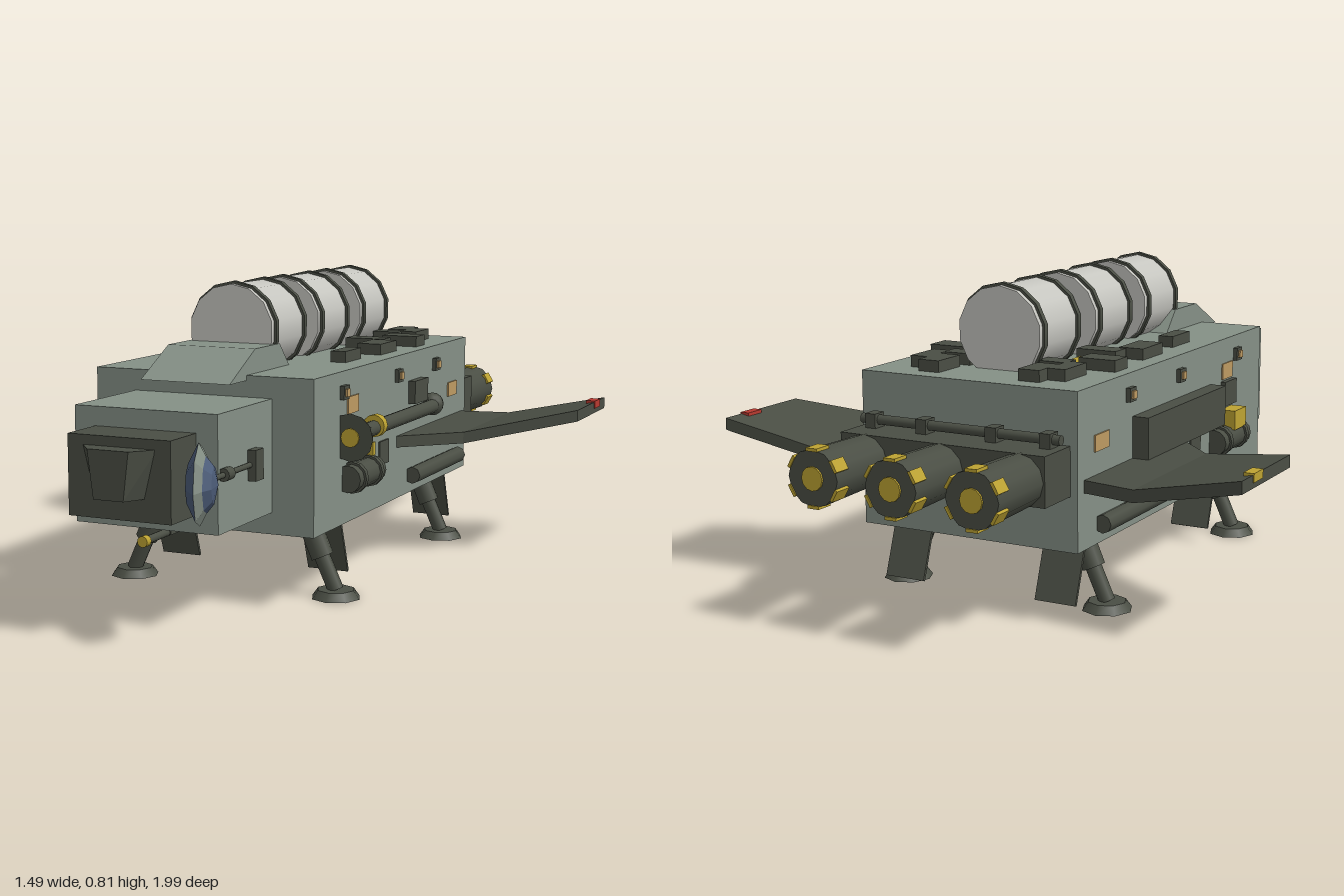
import * as THREE from 'three';

const material = (name, color) => {
  const m = new THREE.MeshStandardMaterial({ color });
  m.name = name;
  return m;
};

export function createModel() {
  const root = new THREE.Group();
  root.name = 'dropship';
  const hull = material('hull grey green', 0x859086);
  const dark = material('dark olive', 0x4a4e44);
  const pale = material('tank grey', 0xc6c6c0);
  const gold = material('gold', 0xbda332);
  const tan = material('tan panel', 0xbe9a62);
  const blue = material('dish blue', 0x4c5c78);
  const red = material('red lamp', 0xb83a30);

  const add = (name, geometry, mat, parent = root) => {
    const mesh = new THREE.Mesh(geometry, mat);
    mesh.name = name;
    parent.add(mesh);
    return mesh;
  };
  // Box given by its limits on each axis
  const box = (name, mat, x0, x1, y0, y1, z0, z1) => {
    const mesh = add(name, new THREE.BoxGeometry(Math.abs(x1 - x0), y1 - y0, Math.abs(z1 - z0)), mat);
    mesh.position.set((x0 + x1) / 2, (y0 + y1) / 2, (z0 + z1) / 2);
    return mesh;
  };
  // Cylinder or cone between two points
  const rod = (name, mat, a, b, ra, rb = ra, sides = 12) => {
    const p = new THREE.Vector3(...a), q = new THREE.Vector3(...b);
    const mesh = add(name, new THREE.CylinderGeometry(rb, ra, p.distanceTo(q), sides), mat);
    mesh.position.copy(p).lerp(q, 0.5);
    mesh.quaternion.setFromUnitVectors(new THREE.Vector3(0, 1, 0), q.sub(p).normalize());
    return mesh;
  };
  const faceted = (geometry) => {
    const g = geometry.toNonIndexed();
    g.computeVertexNormals();
    return g;
  };
  // Reshape a box: the rule moves each vertex
  const reshape = (geometry, rule) => {
    const p = geometry.attributes.position, v = new THREE.Vector3();
    for (let i = 0; i < p.count; i++) {
      rule(v.fromBufferAttribute(p, i));
      p.setXYZ(i, v.x, v.y, v.z);
    }
    return faceted(geometry);
  };

  // Hull, neck and cockpit
  box('hull', hull, -0.31, 0.31, 0.19, 0.59, -0.655, 0.485);
  box('neck', hull, -0.195, 0.195, 0.246, 0.535, 0.48, 0.78);
  box('cockpit', dark, -0.138, 0.138, 0.29, 0.487, 0.77, 0.905);
  add('cockpitWindow', reshape(new THREE.BoxGeometry(1, 1, 1), (v) => {
    const top = v.y > 0, front = v.z > 0;
    v.x = Math.sign(v.x) * (front ? (top ? 0.055 : 0.04) : (top ? 0.1 : 0.07));
    v.y = top ? 0.463 : 0.345;
    v.z = front ? 0.955 : 0.9;
  }), dark);

  // Sloped fairing ahead of the tanks, drawn in side profile
  const profile = new THREE.Shape([[0.58, 0.577], [0.435, 0.652], [0.29, 0.652], [0.22, 0.577]]
    .map(([z, y]) => new THREE.Vector2(-z, y)));
  const fairing = add('fairing', new THREE.ExtrudeGeometry(profile, { depth: 0.25, bevelEnabled: false }), hull);
  fairing.rotation.y = Math.PI / 2;
  fairing.position.x = -0.125;

  // Three dorsal tanks with dark bands
  for (const z of [0.212, -0.085, -0.385]) {
    rod('tank', pale, [0, 0.685, z - 0.11], [0, 0.685, z + 0.11], 0.12, 0.12, 14);
    for (const s of [-1, 1])
      rod('tankBand', dark, [0, 0.685, z + s * 0.088 - 0.008], [0, 0.685, z + s * 0.088 + 0.008], 0.127, 0.127, 14);
  }

  // Engine block, pipe and three engines
  box('engineBlock', dark, -0.29, 0.29, 0.33, 0.455, -0.78, -0.65);
  rod('enginePipe', dark, [-0.285, 0.475, -0.69], [0.285, 0.475, -0.69], 0.013);
  for (const x of [-0.25, -0.1, 0.1, 0.25])
    box('pipeClamp', dark, x - 0.015, x + 0.015, 0.45, 0.492, -0.71, -0.67);
  for (const x of [-0.22, 0, 0.22]) {
    rod('engine', dark, [x, 0.39, -0.77], [x, 0.39, -0.99], 0.066, 0.071);
    rod('engineCore', gold, [x, 0.39, -0.985], [x, 0.39, -0.995], 0.03);
    for (let i = 0; i < 6; i++) {
      const a = i * Math.PI / 3;
      const tab = box('engineTab', gold, -0.016, 0.016, -0.004, 0.004, -0.993, -0.945);
      tab.position.x = x + Math.sin(a) * 0.07;
      tab.position.y = 0.39 + Math.cos(a) * 0.07;
      tab.rotation.z = -a;
    }
  }

  // Gull wings: x, y, leading z, trailing z at root, bend and tip
  const stations = [[0.3, 0.35, -0.07, -0.62], [0.455, 0.35, -0.225, -0.65], [0.742, 0.41, -0.375, -0.675]];
  for (const s of [-1, 1]) {
    add('wing', reshape(new THREE.BoxGeometry(1, 1, 1, 2, 1, 1), (v) => {
      const [x, y, lead, trail] = stations[Math.round((0.5 + s * v.x) * 2)];
      v.set(s * x, y + v.y * 0.032, v.z > 0 ? lead : trail);
    }), dark);
    box('wingLamp', s > 0 ? red : gold, s * 0.718, s * 0.745, 0.408, 0.43, -0.61, -0.555);
  }

  // Landing legs, pads and bay doors
  for (const s of [-1, 1]) for (const z of [0.32, -0.48]) {
    rod('legSleeve', dark, [s * 0.225, 0.19, z], [s * 0.262, 0.105, z], 0.03);
    rod('leg', dark, [s * 0.25, 0.13, z], [s * 0.3, 0.02, z], 0.021);
    rod('footPad', dark, [s * 0.3, 0, z], [s * 0.3, 0.022, z], 0.066, 0.05, 8);
    box('legBay', dark, s * 0.165, s * 0.28, 0.183, 0.192, z - 0.08, z + 0.08);
    for (const d of [-0.045, 0.045])
      box('bayFitting', gold, s * 0.175, s * 0.2, 0.176, 0.186, z + d - 0.02, z + d + 0.02);
    const door = box('bayDoor', dark, s * 0.165, s * 0.28, 0.035, 0.195, z - 0.004, z + 0.004);
    door.position.z = z - 0.103;
    door.rotation.x = 0.34;
  }
  // Belly vents
  for (const z of [-0.375, -0.475, -0.575]) {
    box('ventFrame', dark, -0.045, 0.045, 0.182, 0.192, z - 0.042, z + 0.042);
    box('vent', gold, -0.034, 0.034, 0.176, 0.186, z - 0.03, z + 0.03);
  }

  // Chin probe
  rod('chinProbe', dark, [0, 0.216, 0.595], [0, 0.216, 0.785], 0.01);
  rod('probeTip', gold, [0, 0.216, 0.78], [0, 0.216, 0.8], 0.014);
  box('probeStrut', dark, -0.012, 0.012, 0.21, 0.25, 0.64, 0.68);

  // Dish on its arm
  box('dishMount', dark, 0.19, 0.217, 0.35, 0.427, 0.578, 0.622);
  rod('dishArm', dark, [0.2, 0.39, 0.6], [0.205, 0.39, 0.86], 0.007);
  rod('armJoint', dark, [0.203, 0.39, 0.735], [0.204, 0.39, 0.77], 0.016);
  const dish = new THREE.Group();
  dish.name = 'dish';
  root.add(dish);
  const lathe = (name, points, mat) => add(name, faceted(new THREE.LatheGeometry(
    points.map(([r, y]) => new THREE.Vector2(r, y)), 8, Math.PI / 8)), mat, dish);
  lathe('dishBack', [[0, -0.03], [0.05, -0.025], [0.099, 0]], blue);
  lathe('dishRim', [[0.099, 0], [0.068, 0.016]], hull);
  lathe('dishDome', [[0.068, 0.016], [0.045, 0.034], [0, 0.044]], blue);
  dish.position.set(0.208, 0.39, 0.898);
  dish.quaternion.setFromUnitVectors(new THREE.Vector3(0, 1, 0), new THREE.Vector3(0.94, 0, -0.33).normalize());

  // Side gun on the left
  rod('gunBarrel', dark, [0.338, 0.425, 0.23], [0.338, 0.425, -0.29], 0.02);
  rod('gunMuzzle', dark, [0.338, 0.422, 0.32], [0.338, 0.424, 0.22], 0.063, 0.022);
  rod('muzzleCore', gold, [0.338, 0.422, 0.318], [0.338, 0.422, 0.324], 0.025);
  add('gunPivot', new THREE.SphereGeometry(0.033, 12, 8), dark).position.set(0.33, 0.428, -0.312);
  rod('gunRing', gold, [0.338, 0.43, 0.135], [0.338, 0.43, 0.16], 0.03);
  box('gunBracket', gold, 0.31, 0.335, 0.35, 0.385, 0.138, 0.158);
  box('sideBox', dark, 0.3, 0.33, 0.445, 0.51, -0.275, -0.17);

  // Armoured box and gold unit on the right
  box('armourBox', dark, -0.355, -0.3, 0.365, 0.475, -0.36, 0.13);
  box('goldUnit', gold, -0.355, -0.3, 0.335, 0.39, 0.2, 0.28);
  box('unitPlate', dark, -0.325, -0.3, 0.4, 0.47, 0.2, 0.28);

  // Fittings on both sides
  for (const s of [-1, 1]) {
    rod('sideCanister', dark, [s * 0.325, 0.31, 0.125], [s * 0.325, 0.31, 0.305], 0.036);
    for (const z of [0.16, 0.27])
      rod('canisterBand', dark, [s * 0.325, 0.31, z - 0.008], [s * 0.325, 0.31, z + 0.008], 0.042);
    rod('sideRail', dark, [s * 0.325, 0.242, -0.165], [s * 0.325, 0.242, -0.555], 0.024, 0.024, 8);
    box('sidePlate', dark, s * 0.308, s * 0.315, 0.305, 0.37, -0.01, 0.055);
    box('tanPanel', tan, s * 0.308, s * 0.314, 0.475, 0.52, 0.205, 0.275);
    box('tanPanel', tan, s * 0.308, s * 0.314, 0.425, 0.467, -0.57, -0.495);
    for (const z of [0.305, -0.08, -0.38]) {
      box('lampFrame', dark, s * 0.308, s * 0.322, 0.518, 0.554, z - 0.018, z + 0.018);
      box('lamp', tan, s * 0.32, s * 0.328, 0.526, 0.546, z - 0.01, z + 0.01);
    }
    // Deck boxes beside the tanks: x from, x to, z from, z to
    for (const [x0, x1, z0, z1] of [
      [0.115, 0.175, -0.6, -0.5], [0.175, 0.225, -0.56, -0.45], [0.1, 0.18, -0.475, -0.42],
      [0.17, 0.275, -0.39, -0.32], [0.1, 0.215, -0.27, -0.21], [0.19, 0.26, -0.2, -0.08], [0.2, 0.243, 0.02, 0.13],
    ]) box('deckBox', dark, s * x0, s * x1, 0.585, 0.62, z0, z1);
    box('deckGold', gold, s * 0.125, s * 0.165, 0.585, 0.605, -0.4, -0.29);
  }
  return root;
}
